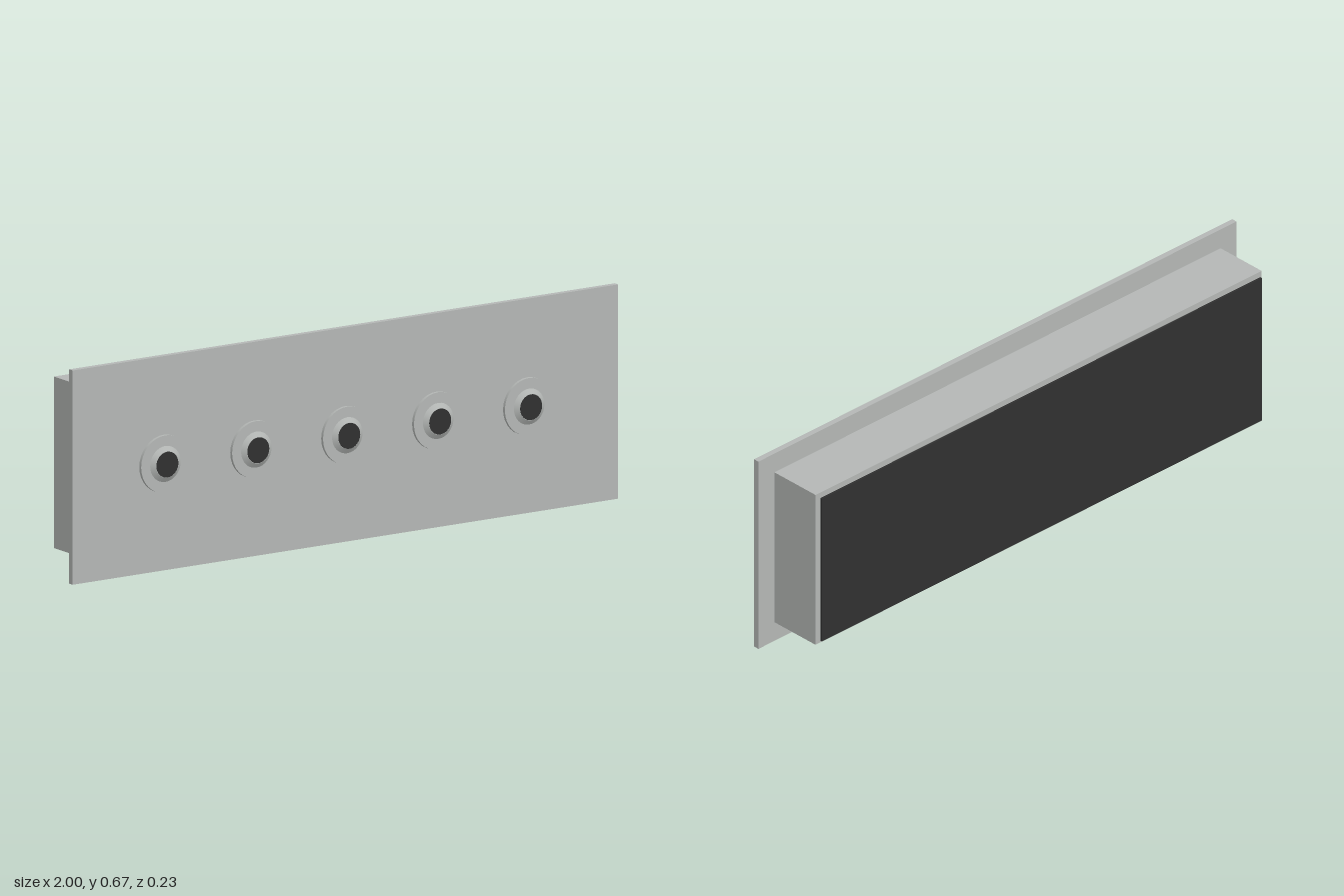
import * as THREE from 'three';

const steel = new THREE.MeshStandardMaterial({ color: 0xb4b7b5 });
steel.name = 'brushed steel';
const black = new THREE.MeshStandardMaterial({ color: 0x303030 });
black.name = 'matte black';

const MID_Y = 0.333;

// Box centred on x, spanning z0 to z1
function slab(name, width, height, z0, z1, material) {
  const mesh = new THREE.Mesh(new THREE.BoxGeometry(width, height, z1 - z0), material);
  mesh.name = name;
  mesh.position.set(0, MID_Y, (z0 + z1) / 2);
  return mesh;
}

// Round button facing +z: flat washer, bevelled collar and black cap
function makeButton() {
  const button = new THREE.Group();
  button.name = 'button';
  const disc = (name, front, back, z0, z1, material) => {
    const geometry = new THREE.CylinderGeometry(front, back, z1 - z0, 32);
    geometry.rotateX(Math.PI / 2);
    const mesh = new THREE.Mesh(geometry, material);
    mesh.name = name;
    mesh.position.z = (z0 + z1) / 2;
    button.add(mesh);
  };
  disc('buttonWasher', 0.089, 0.089, 0.096, 0.107, steel);
  disc('buttonCollar', 0.041, 0.056, 0.107, 0.117, steel);
  disc('buttonCap', 0.04, 0.04, 0.115, 0.118, black);
  return button;
}

export function createModel() {
  const model = new THREE.Group();
  model.name = 'buttonPanel';

  // Face plate, housing behind it and the separate back cover
  model.add(slab('facePlate', 2, 0.666, 0.078, 0.097, steel));
  model.add(slab('housing', 1.866, 0.533, -0.102, 0.078, steel));
  model.add(slab('backCover', 1.84, 0.507, -0.117, -0.11, black));

  // Row of five buttons
  for (let i = -2; i <= 2; i++) {
    const button = makeButton();
    button.position.set(i / 3, MID_Y, 0);
    model.add(button);
  }
  return model;
}
